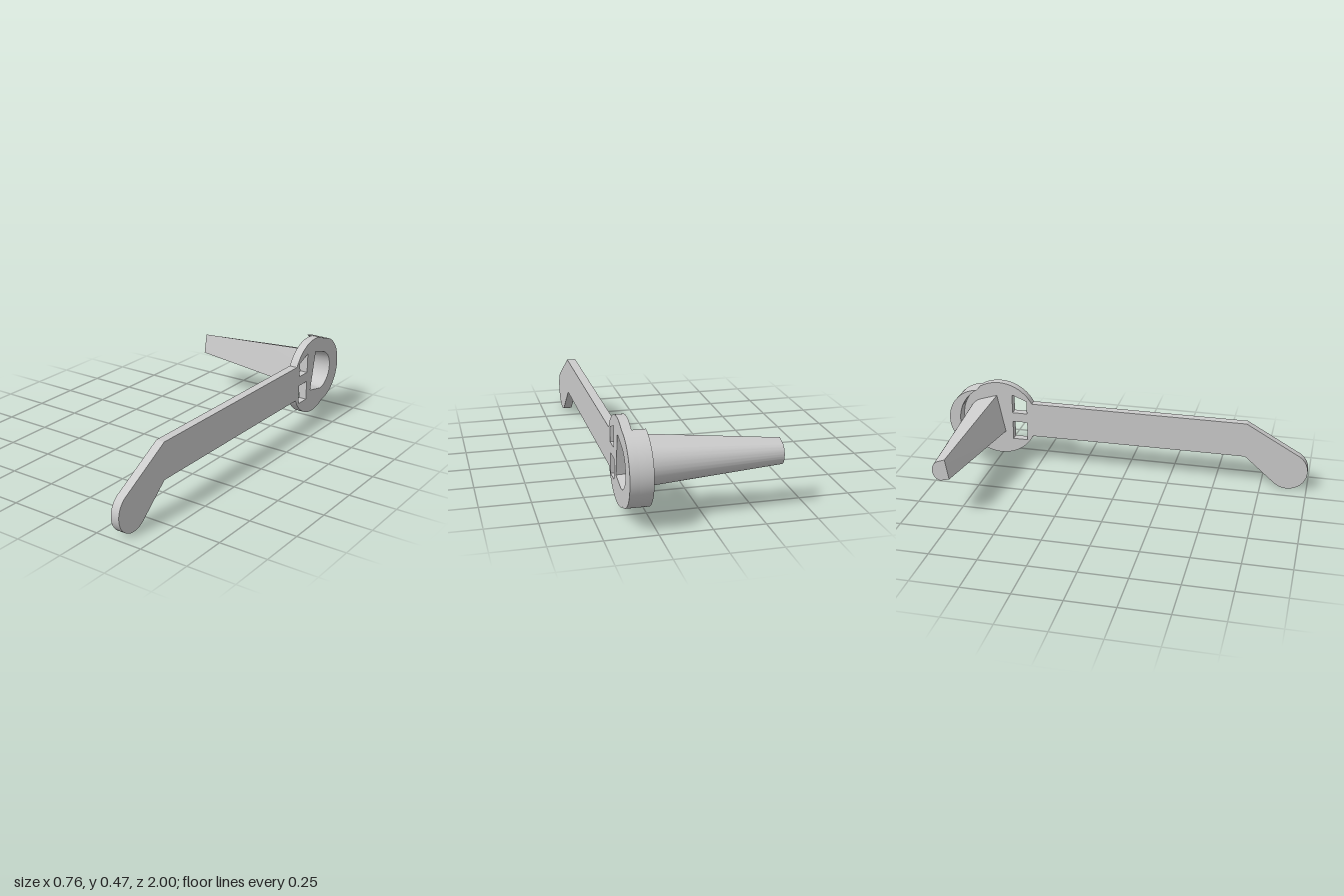
import * as THREE from 'three';
import { toCreasedNormals } from 'three/addons/utils/BufferGeometryUtils.js';

const material = new THREE.MeshStandardMaterial({ color: 0xcccccc });
const rad = THREE.MathUtils.degToRad;

// Points on a circle in the (z, y) plane, angles in degrees
function arc(cz, cy, r, from, to, n) {
  return Array.from({ length: n + 1 }, (_, i) => {
    const a = rad(from + ((to - from) * i) / n);
    return new THREE.Vector2(cz + r * Math.cos(a), cy + r * Math.sin(a));
  });
}
const p = (z, y) => new THREE.Vector2(z, y);

function addMesh(group, name, geometry) {
  const mesh = new THREE.Mesh(toCreasedNormals(geometry, 0.5), material);
  mesh.name = name;
  group.add(mesh);
}

// Extrude a (z, y) outline across x, from xMin to xMax
function slab(outline, holes, xMin, xMax) {
  const shape = new THREE.Shape(outline);
  shape.holes = holes.map((h) => new THREE.Path(h));
  const g = new THREE.ExtrudeGeometry(shape, { depth: xMax - xMin, bevelEnabled: false });
  return g.rotateY(-Math.PI / 2).translate(xMax, 0, 0);
}

// Rounded wedge section of the peg, counter-clockwise in (z, y)
const section = [p(-0.739, 0.395), ...arc(-0.8, 0.264, 0.107, 105, 267, 28), p(-0.695, 0.18)];

// Tapered wall between the full section at xMouth and a scaled one at xEnd, closed at xEnd
function taper(xMouth, xEnd, end, inward) {
  const pos = [];
  const mouth = section.map((s) => [xMouth, s.y, s.x]);
  const tip = section.map((s) => [xEnd, end.y + (s.y - 0.276) * end.sy, end.z + (s.x + 0.801) * end.sz]);
  const center = [xEnd, end.y, end.z];
  const tri = (a, b, c) => pos.push(...a, ...(inward ? c : b), ...(inward ? b : c));
  section.forEach((_, i) => {
    const j = (i + 1) % section.length;
    tri(mouth[i], mouth[j], tip[j]);
    tri(mouth[i], tip[j], tip[i]);
    tri(center, tip[i], tip[j]);
  });
  const g = new THREE.BufferGeometry();
  g.setAttribute('position', new THREE.Float32BufferAttribute(pos, 3));
  return g;
}

export function createModel() {
  const group = new THREE.Group();
  const cy = 0.261;
  const hub = (from, to, n) => arc(-0.725, cy, 0.212, from, to, n);
  const collar = (n) => arc(-0.817, cy, 0.183, 95, 265, n);

  // Flat lever: arm, two overlapping hub discs and a drooping round end
  const outline = [
    p(0.66, 0.36),
    ...hub(28, 120.4, 24),
    ...collar(40).slice(1, -1),
    ...hub(239.6, 333.6, 24),
    p(0.66, 0.167),
    ...arc(0.893, 0.107, 0.107, -131, 66, 36),
  ];
  const window = (y0, y1) => [p(-0.651, y0), p(-0.568, y0), p(-0.568, y1), p(-0.651, y1)];
  addMesh(group, 'leverPlate', slab(outline, [window(0.298, 0.405), window(0.14, 0.245), section], 0.335, 0.38));

  // Crescent rim behind the hub
  const crescent = [...collar(40), ...hub(239.6, 120.4, 30).slice(1, -1)];
  addMesh(group, 'crescentRim', slab(crescent, [], 0.27, 0.335));

  // Hollow tapered peg, closed at its tip
  addMesh(group, 'pegShell', taper(0.335, -0.38, { y: 0.27, z: -0.81, sy: 0.504, sz: 0.425 }, false));
  addMesh(group, 'pegSocket', taper(0.38, -0.36, { y: 0.268, z: -0.806, sy: 0.38, sz: 0.3 }, true));

  return group;
}
